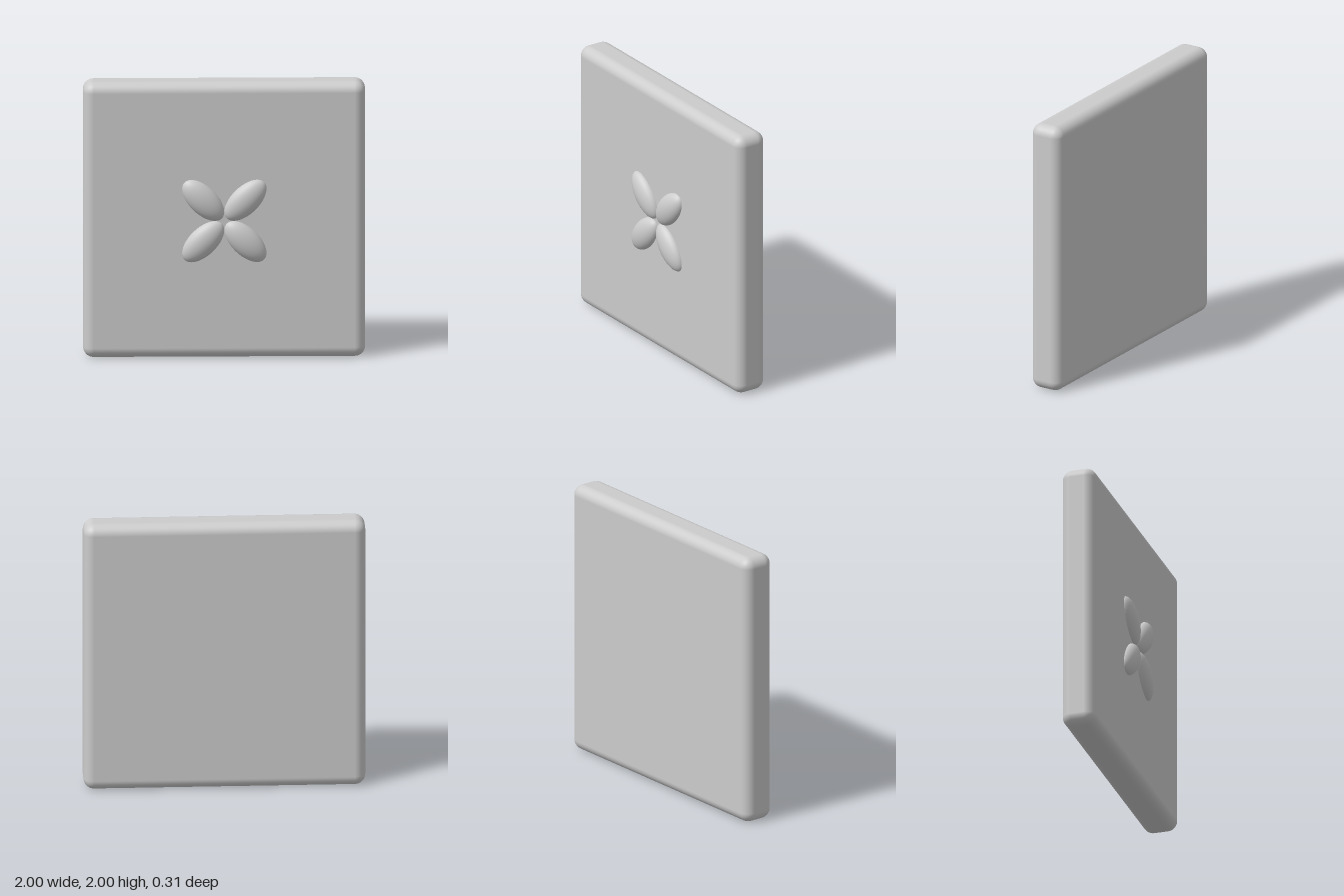
import * as THREE from 'three';
import { RoundedBoxGeometry } from 'three/addons/geometries/RoundedBoxGeometry.js';

export function createModel() {
  const model = new THREE.Group();
  model.name = 'flowerTile';
  const grey = new THREE.MeshStandardMaterial({ color: 0xcccccc });
  grey.name = 'plain grey';

  // Square slab with rounded edges
  const slab = new THREE.Mesh(new RoundedBoxGeometry(2, 2, 0.25, 5, 0.075), grey);
  slab.name = 'slab';
  slab.position.set(0, 1, -0.033);
  model.add(slab);

  // Four flattened petals set diagonally, half sunk into the front face
  const petals = new THREE.Group();
  petals.name = 'petals';
  petals.position.set(0, 1, 0.087);
  const petalGeometry = new THREE.SphereGeometry(1, 32, 20);
  petalGeometry.rotateZ(-Math.PI / 2); // poles at the petal tips
  petalGeometry.scale(0.187, 0.1, 0.068);
  for (let i = 0; i < 4; i++) {
    const angle = Math.PI / 4 + (i * Math.PI) / 2;
    const petal = new THREE.Mesh(petalGeometry, grey);
    petal.name = `petal${i + 1}`;
    petal.position.set(0.212 * Math.cos(angle), 0.212 * Math.sin(angle), 0);
    petal.rotation.z = angle;
    petals.add(petal);
  }
  model.add(petals);
  return model;
}
